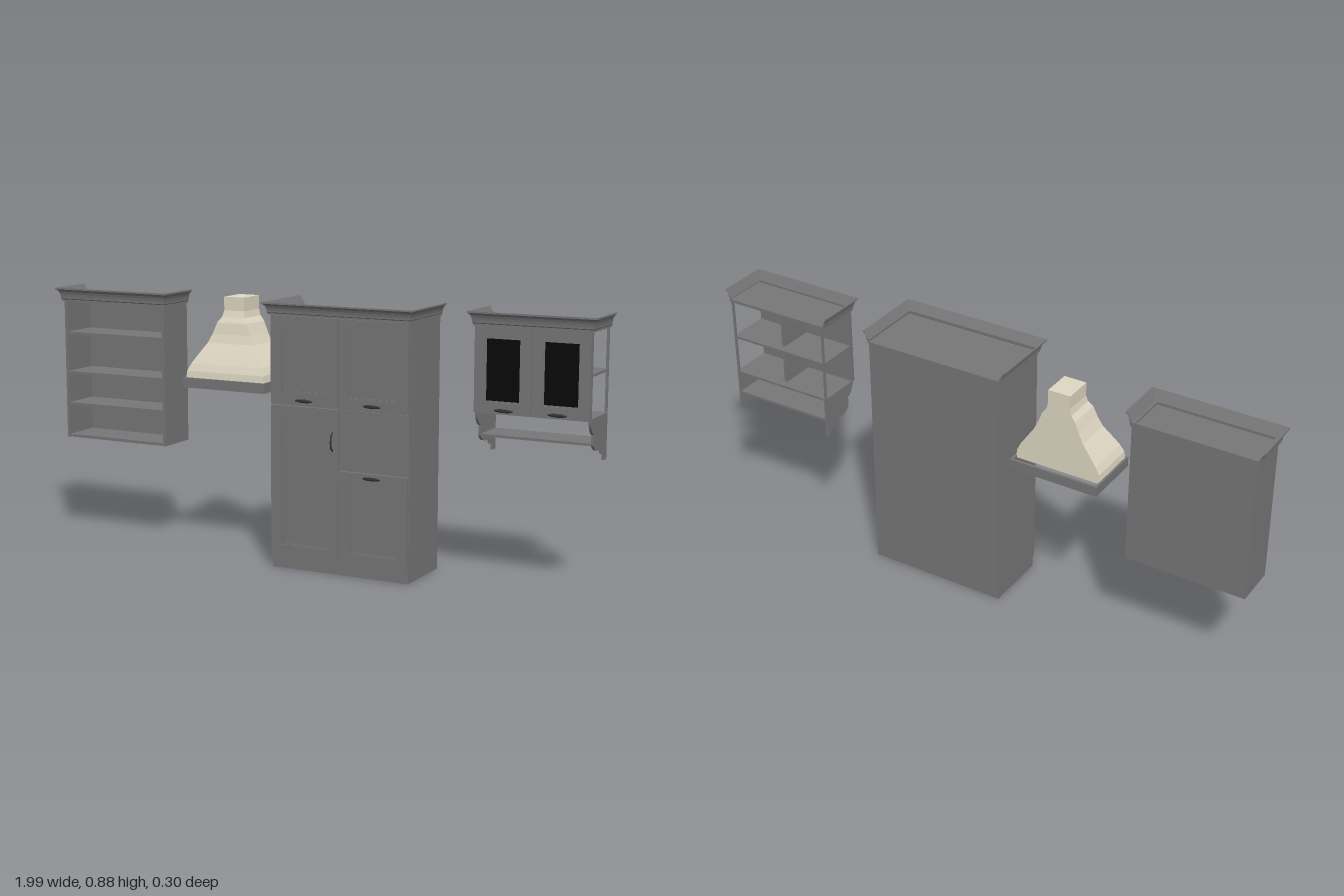
import * as THREE from 'three';

const paint = new THREE.MeshStandardMaterial({ color: 0x777777, side: THREE.DoubleSide });
const cream = new THREE.MeshStandardMaterial({ color: 0xe0d8c4, side: THREE.DoubleSide, flatShading: true });
const glass = new THREE.MeshStandardMaterial({ color: 0x080808 });
const metal = new THREE.MeshStandardMaterial({ color: 0x333333 });

function add(parent, name, geometry, material = paint) {
  const mesh = new THREE.Mesh(geometry, material);
  mesh.name = name;
  parent.add(mesh);
  return mesh;
}

function group(parent, name) {
  const g = new THREE.Group();
  g.name = name;
  parent.add(g);
  return g;
}

// Box given by its limits on each axis
function box(parent, name, [x0, x1], [y0, y1], [z0, z1], material = paint) {
  const m = add(parent, name, new THREE.BoxGeometry(x1 - x0, y1 - y0, z1 - z0), material);
  m.position.set((x0 + x1) / 2, (y0 + y1) / 2, (z0 + z1) / 2);
  return m;
}

// Skin through cross-sections that all have the same number of points
function loft(sections, closed) {
  const pos = [];
  const tri = (...pts) => pts.forEach((p) => pos.push(...p));
  const n = sections[0].length;
  for (let i = 0; i < sections.length - 1; i++) {
    for (let j = 0; j < (closed ? n : n - 1); j++) {
      const k = (j + 1) % n;
      const [a, b, c, d] = [sections[i][j], sections[i][k], sections[i + 1][k], sections[i + 1][j]];
      tri(a, b, c);
      tri(a, c, d);
    }
  }
  const g = new THREE.BufferGeometry();
  g.setAttribute('position', new THREE.Float32BufferAttribute(pos, 3));
  g.computeVertexNormals();
  return g;
}

// Mitred crown moulding round the front and both sides
function cornice(parent, [x0, x1], zBack, zFront, y0, y1, reach) {
  const profile = [[0, 0], [0.25, 0], [0.25, 0.14], [0.36, 0.2], [0.38, 0.36], [0.46, 0.55],
    [0.6, 0.72], [0.82, 0.84], [1, 0.88], [1, 1], [0.8, 1], [0, 0.3]];
  const path = [[x0, zBack, -1, 0], [x0, zFront, -1, 1], [x1, zFront, 1, 1], [x1, zBack, 1, 0]];
  const sections = path.map(([x, z, dx, dz]) => profile.map(([o, h]) =>
    [x + dx * o * reach, y0 + h * (y1 - y0), z + dz * o * reach]));
  add(parent, 'cornice', loft(sections, true));
  // Profile-shaped ends at the back
  const cap = new THREE.ShapeGeometry(new THREE.Shape(profile.map(([o, h]) =>
    new THREE.Vector2(o * reach, h * (y1 - y0)))));
  for (const [x, s] of [[x0, -1], [x1, 1]]) {
    const m = add(parent, 'corniceEnd', cap);
    m.position.set(x, y0, zBack);
    m.scale.x = s;
  }
}

// Framed door with a set-back panel
function door(parent, name, [x0, x1], [y0, y1], [z0, z1], rim, panelMaterial = paint) {
  const g = group(parent, name);
  const rect = (C, i) => new C([[x0 + i, y0 + i], [x1 - i, y0 + i], [x1 - i, y1 - i], [x0 + i, y1 - i]]
    .map(([x, y]) => new THREE.Vector2(x, y)));
  const frame = rect(THREE.Shape, 0.0015);
  frame.holes.push(rect(THREE.Path, rim));
  add(g, 'doorFrame', new THREE.ExtrudeGeometry(frame, { depth: z1 - z0, bevelEnabled: false })).position.z = z0;
  const bead = 0.004;
  const inner = rect(THREE.Shape, rim);
  inner.holes.push(rect(THREE.Path, rim + bead));
  add(g, 'doorBead', new THREE.ExtrudeGeometry(inner, { depth: (z1 - z0) * 0.7, bevelEnabled: false })).position.z = z0;
  box(g, 'doorPanel', [x0 + rim, x1 - rim], [y0 + rim, y1 - rim], [z0, z0 + (z1 - z0) * 0.35], panelMaterial);
}

// Oval pull on a short stem
function pull(parent, x, y, z) {
  const g = group(parent, 'pullHandle');
  const stem = add(g, 'pullStem', new THREE.CylinderGeometry(0.003, 0.003, 0.008, 10), metal);
  stem.rotation.x = Math.PI / 2;
  stem.position.z = 0.004;
  const grip = add(g, 'pullGrip', new THREE.SphereGeometry(1, 20, 10), metal);
  grip.scale.set(0.032, 0.006, 0.003);
  grip.position.z = 0.009;
  g.position.set(x, y, z);
}

function bookcase(root) {
  const g = group(root, 'bookcase');
  const X = [-0.977, -0.563], Z = [-0.112, 0.035];
  box(g, 'leftSide', [X[1] - 0.01, X[1]], [0.35, 0.85], Z);
  box(g, 'rightSide', [X[0], X[0] + 0.01], [0.35, 0.85], Z);
  box(g, 'back', X, [0.35, 0.85], [-0.113, -0.105]);
  for (const y of [0.355, 0.47, 0.582, 0.722, 0.838])
    box(g, 'shelf', [X[0] + 0.01, X[1] - 0.01], [y - 0.005, y + 0.005], [-0.105, 0.033]);
  cornice(g, X, -0.113, 0.037, 0.835, 0.883, 0.022);
}

function rangeHood(root) {
  const g = group(root, 'rangeHood');
  const cx = -0.312, back = -0.115;
  // [height, half width, front z] of the flat-backed bell and chimney
  const rings = [[0.6, 0.151, 0.054], [0.625, 0.148, 0.052], [0.65, 0.136, 0.044], [0.675, 0.119, 0.034],
    [0.7, 0.102, 0.023], [0.72, 0.088, 0.014], [0.75, 0.074, 0.006], [0.785, 0.06, 0.001],
    [0.79, 0.058, 0], [0.808, 0.044, -0.008], [0.83, 0.039, -0.014], [0.876, 0.039, -0.014]];
  const section = ([y, w, z]) => [[cx - w, y, back], [cx - w, y, z], [cx + w, y, z], [cx + w, y, back]];
  add(g, 'bell', loft(rings.map(section), true), cream);
  box(g, 'chimneyTop', [cx - 0.039, cx + 0.039], [0.874, 0.876], [back, -0.014], cream);
  box(g, 'bellFloor', [cx - 0.151, cx + 0.151], [0.594, 0.6], [back, 0.054], cream);
  // Open rim round the base
  const [x0, x1, z0, z1, t] = [-0.47, -0.155, -0.148, 0.062, 0.009];
  const Y = [0.568, 0.602];
  box(g, 'rimFront', [x0, x1], Y, [z1 - t, z1]);
  box(g, 'rimBack', [x0, x1], Y, [z0, z0 + t]);
  box(g, 'rimRight', [x0, x0 + t], Y, [z0 + t, z1 - t]);
  box(g, 'rimLeft', [x1 - t, x1], Y, [z0 + t, z1 - t]);
}

function tallCabinet(root) {
  const g = group(root, 'tallCabinet');
  const X = [-0.093, 0.403], mid = 0.157;
  box(g, 'carcass', X, [0, 0.848], [-0.112, 0.116]);
  const Z = [0.116, 0.128];
  door(g, 'upperRightDoor', [X[0], mid], [0.552, 0.843], Z, 0.04);
  door(g, 'upperLeftDoor', [mid, X[1]], [0.552, 0.843], Z, 0.035);
  door(g, 'lowerRightDoor', [X[0], mid], [0.042, 0.55], Z, 0.04);
  door(g, 'lowerLeftDoor', [mid, X[1]], [0.042, 0.35], Z, 0.037);
  box(g, 'appliancePanel', [mid + 0.002, X[1]], [0.354, 0.548], [0.116, 0.12]);
  pull(g, 0.035, 0.569, 0.128);
  pull(g, 0.28, 0.569, 0.128);
  pull(g, 0.28, 0.335, 0.128);
  // Bowed upright handle
  const bow = new THREE.CatmullRomCurve3([[0.413, 0.128], [0.422, 0.137], [0.443, 0.141], [0.464, 0.137], [0.473, 0.128]]
    .map(([y, z]) => new THREE.Vector3(0.136, y, z)));
  add(g, 'barHandle', new THREE.TubeGeometry(bow, 20, 0.003, 8), metal);
  cornice(g, X, -0.112, 0.128, 0.843, 0.884, 0.022);
}

function wallCabinet(root) {
  const g = group(root, 'wallCabinet');
  const X = [0.592, 0.974], mid = 0.783, Z = [-0.112, 0.042];
  for (const [name, y, t] of [['floor', 0.563, 0.008], ['middleShelf', 0.701, 0.008], ['top', 0.838, 0.01]])
    box(g, name, X, [y, y + t], Z);
  box(g, 'divider', [mid - 0.005, mid + 0.005], [0.571, 0.838], [-0.086, 0.04]);
  box(g, 'doorBacking', X, [0.563, 0.84], [0.036, 0.042]);
  for (const x of [X[0], X[1] - 0.008])
    box(g, 'rearPost', [x, x + 0.008], [0.565, 0.84], [-0.112, -0.106]);
  door(g, 'rightDoor', [X[0], mid], [0.565, 0.84], [0.042, 0.053], 0.036, glass);
  door(g, 'leftDoor', [mid, X[1]], [0.565, 0.84], [0.042, 0.053], 0.036, glass);
  pull(g, 0.697, 0.578, 0.053);
  pull(g, 0.873, 0.578, 0.053);
  // Scrolled brackets drawn in (z, y)
  const s = new THREE.Shape();
  s.moveTo(-0.112, 0.565);
  s.lineTo(0.042, 0.565);
  s.quadraticCurveTo(0.04, 0.53, 0.013, 0.519);
  s.lineTo(0.013, 0.487);
  s.quadraticCurveTo(0.005, 0.461, -0.064, 0.461);
  s.lineTo(-0.066, 0.447);
  s.lineTo(-0.091, 0.443);
  s.lineTo(-0.093, 0.423);
  s.lineTo(-0.112, 0.423);
  const bracket = new THREE.ExtrudeGeometry(s, { depth: 0.008, bevelEnabled: false, curveSegments: 10 });
  bracket.rotateY(-Math.PI / 2);
  for (const x of [X[0] + 0.01, X[1]]) add(g, 'bracket', bracket).position.x = x;
  box(g, 'lowerShelf', [X[0] + 0.01, X[1] - 0.008], [0.483, 0.491], [-0.112, 0.01]);
  cornice(g, X, -0.112, 0.048, 0.838, 0.883, 0.02);
}

export function createModel() {
  const root = new THREE.Group();
  root.name = 'kitchenUnits';
  bookcase(root);
  rangeHood(root);
  tallCabinet(root);
  wallCabinet(root);
  return root;
}
